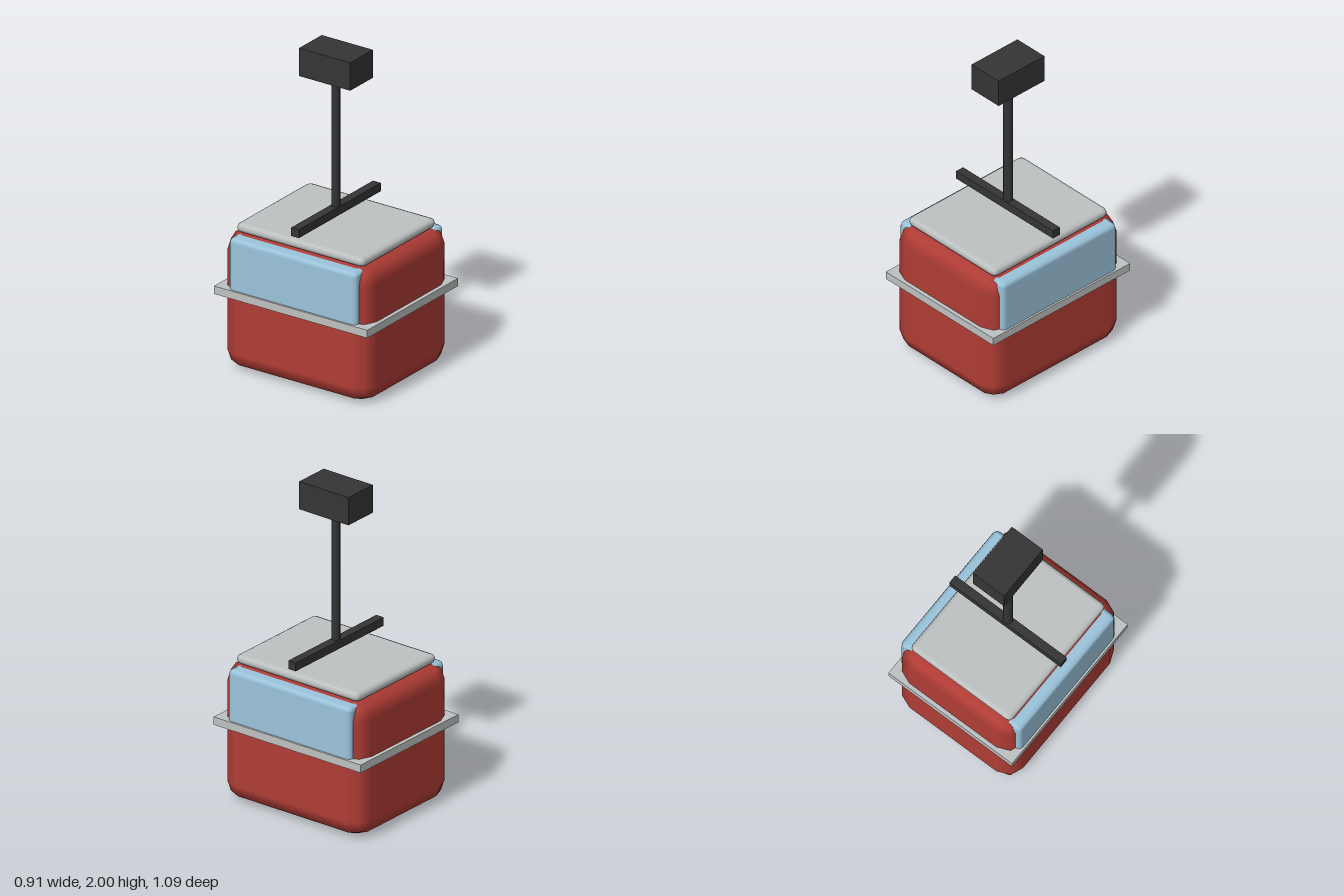
import * as THREE from 'three';
import { RoundedBoxGeometry } from 'three/addons/geometries/RoundedBoxGeometry.js';

function material(name, color) {
  const m = new THREE.MeshStandardMaterial({ color });
  m.name = name;
  return m;
}

export function createModel() {
  const red = material('cabin red', 0xb03c35);
  const blue = material('window blue', 0x9bc4dc);
  const grey = material('trim grey', 0xbfc2c2);
  const black = material('metal black', 0x353535);

  const model = new THREE.Group();
  model.name = 'cableCabin';

  // Adds a part that spans the heights y0 to y1 on the central axis
  function add(name, geometry, mat, y0, y1) {
    const mesh = new THREE.Mesh(geometry, mat);
    mesh.name = name;
    mesh.position.y = (y0 + y1) / 2;
    model.add(mesh);
  }
  const box = (name, w, d, y0, y1, mat) =>
    add(name, new THREE.BoxGeometry(w, y1 - y0, d), mat, y0, y1);
  const rounded = (name, w, d, y0, y1, r, mat) =>
    add(name, new RoundedBoxGeometry(w, y1 - y0, d, 1, r), mat, y0, y1);

  // Cabin with two-step rounded edges
  rounded('cabinBody', 0.86, 1.04, 0, 0.865, 0.11, red);
  // One glass block passes through the cabin and shows on both sides
  rounded('sideWindows', 0.885, 0.91, 0.48, 0.845, 0.03, blue);
  rounded('roofPanel', 0.74, 0.91, 0.853, 0.913, 0.03, grey);
  box('bumperBelt', 0.91, 1.09, 0.47, 0.52, grey);

  // Hanger: cross bar, six-sided pole and cable grip
  box('crossBar', 0.82, 0.055, 0.955, 1.008, black);
  add('hangerPole', new THREE.CylinderGeometry(0.029, 0.029, 0.83, 6), black, 1.0, 1.83);
  box('cableGrip', 0.228, 0.364, 1.823, 2, black);

  return model;
}
